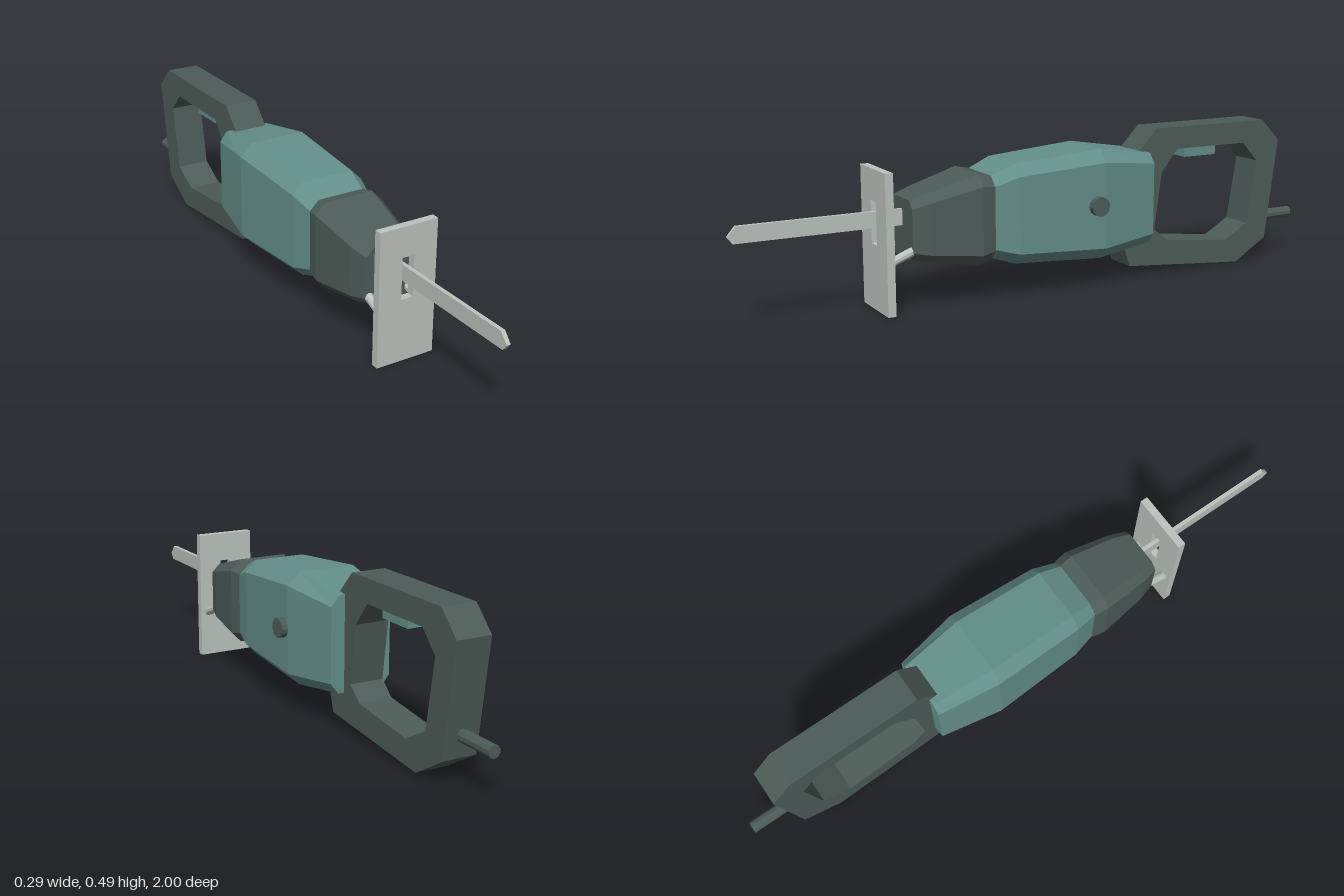
import * as THREE from 'three';

const mat = (name, color) => {
  const m = new THREE.MeshStandardMaterial({ color, flatShading: true });
  m.name = name;
  return m;
};

// Loft of chamfered rectangles: [z, top, bottom, half width, side chamfer, height chamfer]
function loft(sections) {
  const rings = sections.map(([z, t, b, w, cx, cy]) => [
    [w, b + cy, z], [w, t - cy, z], [w - cx, t, z], [cx - w, t, z],
    [-w, t - cy, z], [-w, b + cy, z], [cx - w, b, z], [w - cx, b, z],
  ]);
  const pos = [];
  const tri = (...p) => p.forEach((v) => pos.push(...v));
  for (let s = 0; s < rings.length - 1; s++) {
    const a = rings[s], b = rings[s + 1];
    for (let i = 0; i < 8; i++) {
      const j = (i + 1) % 8;
      tri(a[i], a[j], b[j]);
      tri(a[i], b[j], b[i]);
    }
  }
  const back = rings[0], front = rings[rings.length - 1];
  for (let i = 1; i < 7; i++) {
    tri(back[0], back[i + 1], back[i]);
    tri(front[0], front[i], front[i + 1]);
  }
  const g = new THREE.BufferGeometry();
  g.setAttribute('position', new THREE.Float32BufferAttribute(pos, 3));
  g.computeVertexNormals();
  return g;
}

const points = (pts) => pts.map((p) => new THREE.Vector2(...p));

// Extrudes an outline; outlines run clockwise and holes anticlockwise so all walls face outward
function extrude(outline, depth, hole) {
  const shape = new THREE.Shape(points(outline));
  if (hole) shape.holes.push(new THREE.Path(points(hole)));
  return new THREE.ExtrudeGeometry(shape, { depth, bevelEnabled: false }).translate(0, 0, -depth / 2);
}

// Extrudes a side profile of [z, y] points across x
function sideExtrude(outline, width, hole) {
  const flip = (pts) => pts.map(([z, y]) => [-z, y]);
  return extrude(flip(outline), width, hole && flip(hole)).rotateY(Math.PI / 2);
}

// Cylinder between two points
function rod(a, b, r, sides) {
  const p = new THREE.Vector3(...a), q = new THREE.Vector3(...b);
  const d = q.clone().sub(p);
  const g = new THREE.CylinderGeometry(r, r, d.length(), sides);
  g.applyQuaternion(new THREE.Quaternion().setFromUnitVectors(new THREE.Vector3(0, 1, 0), d.normalize()));
  const m = p.add(q).multiplyScalar(0.5);
  return g.translate(m.x, m.y, m.z);
}

export function createModel() {
  const teal = mat('teal casing', 0x648f8a);
  const dark = mat('dark grip', 0x4d5c58);
  const steel = mat('light steel', 0xbcc3be);

  const group = new THREE.Group();
  group.name = 'reciprocatingSaw';
  const tool = new THREE.Group();
  tool.name = 'tool';
  tool.position.set(-0.01, -0.002, 0); // the side knob puts the centre line off x = 0
  group.add(tool);
  const add = (name, geometry, material) => {
    const m = new THREE.Mesh(geometry, material);
    m.name = name;
    tool.add(m);
  };

  // Motor casing and front boot
  add('motorCasing', loft([
    [-0.36, 0.415, 0.12, 0.1, 0.025, 0.032],
    [-0.16, 0.446, 0.094, 0.133, 0.04, 0.039],
    [0.14, 0.422, 0.111, 0.122, 0.036, 0.036],
    [0.217, 0.39, 0.137, 0.106, 0.03, 0.03],
  ]), teal);
  add('noseBoot', loft([
    [0.216, 0.391, 0.134, 0.108, 0.03, 0.03],
    [0.26, 0.4, 0.121, 0.115, 0.033, 0.034],
    [0.42, 0.354, 0.145, 0.096, 0.026, 0.026],
    [0.475, 0.337, 0.157, 0.081, 0.024, 0.024],
  ]), dark);

  // Closed D-shaped rear handle
  add('rearHandle', sideExtrude(
    [[-0.325, 0.412], [-0.397, 0.488], [-0.83, 0.488], [-0.9, 0.416], [-0.855, 0.076],
      [-0.735, 0.003], [-0.3, 0.041], [-0.27, 0.13]],
    0.11,
    [[-0.42, 0.34], [-0.395, 0.155], [-0.445, 0.112], [-0.685, 0.084],
      [-0.775, 0.135], [-0.81, 0.35], [-0.75, 0.415], [-0.48, 0.415]],
  ), dark);

  // Trigger under the upper grip
  add('trigger', new THREE.BoxGeometry(0.066, 0.045, 0.125).translate(0, 0.404, -0.587), teal);

  // Power cord stub and side knob
  add('powerCord', rod([0, 0.143, -0.84], [0, 0.143, -1], 0.019, 10), dark);
  add('sideKnob', rod([0.11, 0.273, -0.13], [0.153, 0.273, -0.13], 0.031, 14), dark);

  // Saw blade with a pointed tip
  add('sawBlade', sideExtrude(
    [[0.45, 0.253], [0.985, 0.253], [1, 0.273], [0.975, 0.303], [0.45, 0.303]], 0.013,
  ), steel);

  // Slotted shoe plate
  add('shoePlate', extrude(
    [[-0.097, 0.002], [-0.097, 0.43], [0.097, 0.43], [0.097, 0.002]], 0.025,
    [[-0.02, 0.203], [0.02, 0.203], [0.02, 0.335], [-0.02, 0.335]],
  ).translate(0, 0, 0.551), steel);

  // Pair of struts carrying the shoe
  for (const s of [-1, 1]) {
    add(s > 0 ? 'leftStrut' : 'rightStrut', rod([s * 0.068, 0.197, 0.44], [s * 0.068, 0.156, 0.545], 0.014, 10), steel);
  }
  return group;
}
